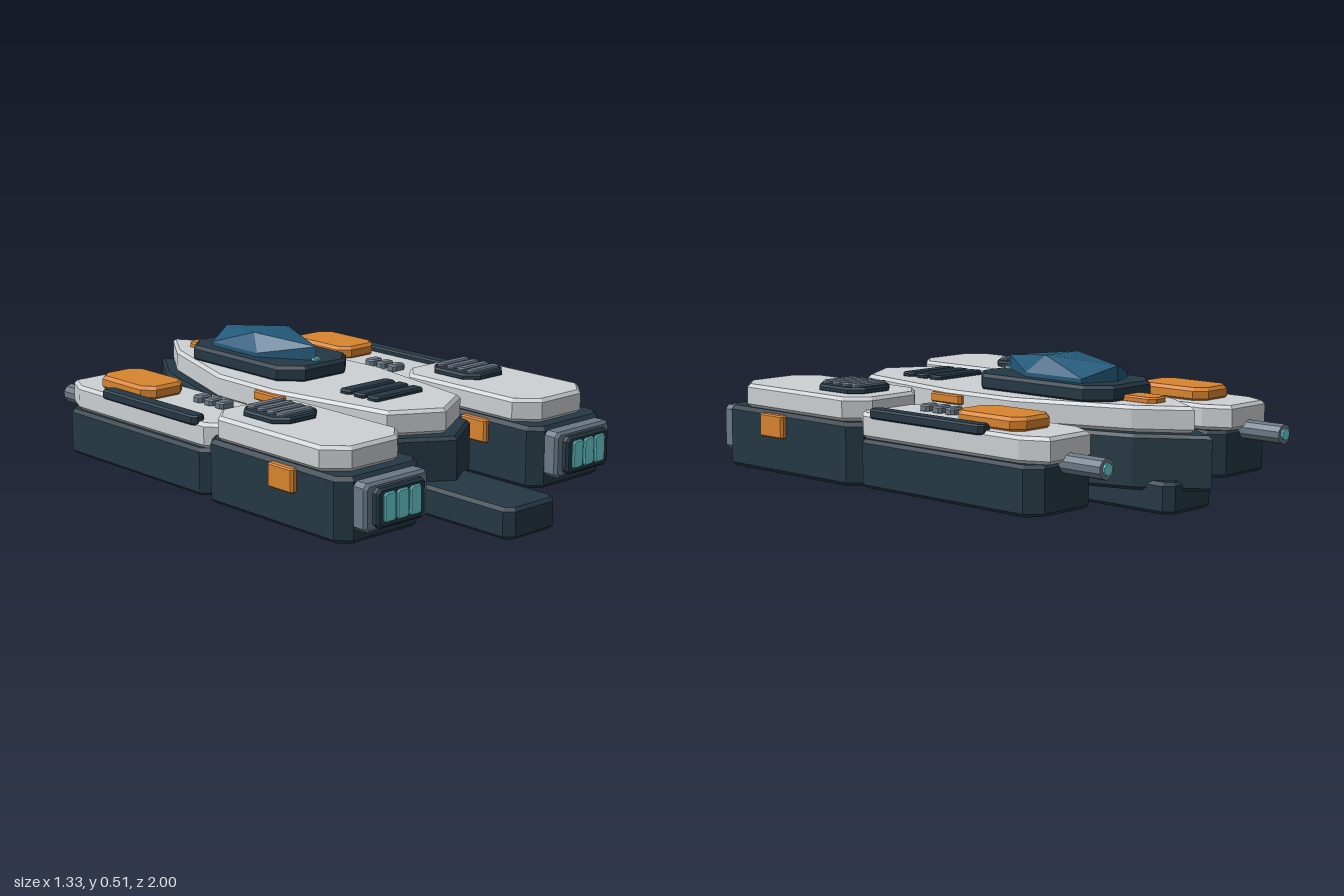
import * as THREE from 'three';
import { ConvexGeometry } from 'three/addons/geometries/ConvexGeometry.js';

export function createModel() {
  const model = new THREE.Group();
  const mat = (name, color) => {
    const m = new THREE.MeshStandardMaterial({ color });
    m.name = name;
    return m;
  };
  const white = mat('paleArmour', 0xcdd1d4);
  const dark = mat('darkHull', 0x253844);
  const grey = mat('steelGrey', 0x6a7886);
  const orange = mat('orangeTrim', 0xd9842f);
  const blue = mat('canopyBlue', 0x23597a);
  const cyan = mat('cyanGlow', 0x6ad2d8);

  const add = (name, geo, material, parent = model) => {
    const mesh = new THREE.Mesh(geo, material);
    mesh.name = name;
    parent.add(mesh);
    return mesh;
  };

  // Bevelled slab: outline of [x, z] points raised from y0 to y1
  const slab = (name, pts, y0, y1, bevel, material, parent) => {
    const shape = new THREE.Shape(pts.map(([x, z]) => new THREE.Vector2(x, -z)));
    const geo = new THREE.ExtrudeGeometry(shape, {
      depth: y1 - y0 - 2 * bevel, bevelEnabled: true, bevelThickness: bevel,
      bevelSize: bevel, bevelOffset: -bevel, bevelSegments: 1,
    });
    geo.rotateX(-Math.PI / 2).translate(0, y0 + bevel, 0);
    return add(name, geo, material, parent);
  };

  // Rectangle with cut corners, given its centre, size and cut
  const octagon = (cx, cz, w, d, cut) => {
    const a = w / 2, b = d / 2;
    return [[a - cut, -b], [a, -b + cut], [a, b - cut], [a - cut, b],
      [-a + cut, b], [-a, b - cut], [-a, -b + cut], [-a + cut, -b]].map(([x, z]) => [x + cx, z + cz]);
  };

  // Chamfered block
  const block = (name, x, z, w, d, y0, y1, cut, bevel, material, parent) =>
    slab(name, octagon(x, z, w, d, cut), y0, y1, bevel, material, parent);

  // Symmetrical outline from half a profile running nose to tail
  const mirrored = (half) => [...half,
    ...half.slice(1, -1).reverse().map(([x, z]) => [-x, z])];

  // Central hull, deck and keel
  slab('centralHull', mirrored([[0, -1], [0.15, -0.78], [0.285, -0.33], [0.285, -0.05],
    [0.2, 0.51], [0, 0.64]]), 0.11, 0.3, 0.012, dark);
  slab('centralDeck', mirrored([[0, -0.925], [0.12, -0.75], [0.262, -0.33], [0.268, -0.02],
    [0.18, 0.48], [0, 0.585]]), 0.3, 0.39, 0.012, white);
  block('keel', 0, 0.04, 0.245, 1.92, 0.035, 0.145, 0.03, 0.012, dark);

  // Cockpit
  block('cockpitBase', 0, -0.342, 0.345, 0.625, 0.385, 0.445, 0.075, 0.012, dark);
  const canopy = [[0, 0.5, -0.588], [0, 0.497, -0.08], [0, 0.44, -0.588], [0, 0.44, -0.08]];
  for (const s of [-1, 1]) {
    canopy.push([s * 0.085, 0.523, -0.33], [s * 0.122, 0.46, -0.53],
      [s * 0.122, 0.46, -0.27], [s * 0.122, 0.44, -0.53], [s * 0.122, 0.44, -0.27]);
  }
  add('canopy', new ConvexGeometry(canopy.map((p) => new THREE.Vector3(...p))), blue);
  block('canopyLight', 0, -0.08, 0.03, 0.03, 0.445, 0.456, 0.005, 0.002, cyan);
  block('noseMarker', 0, -0.705, 0.09, 0.15, 0.385, 0.41, 0.02, 0.006, orange);

  // Deck louvres
  for (let i = 0; i < 3; i++) {
    block('deckLouvre', 0, 0.195 + i * 0.07, 0.235, 0.056, 0.385, 0.406, 0.01, 0.006, dark);
  }

  for (const s of [-1, 1]) {
    const pod = new THREE.Group();
    pod.name = s > 0 ? 'leftPod' : 'rightPod';
    model.add(pod);
    const x = s * 0.4575;

    // Large engine section
    block('engineBody', x, 0.405, 0.375, 0.71, 0.075, 0.3, 0.045, 0.014, dark, pod);
    block('engineArmour', x, 0.38, 0.355, 0.66, 0.3, 0.385, 0.075, 0.012, white, pod);

    // Slim gun section
    const gx = s * 0.478;
    block('gunBody', gx, -0.355, 0.315, 0.85, 0.08, 0.25, 0.05, 0.012, dark, pod);
    slab('gunArmour', [[0.38, -0.795], [0.575, -0.795], [0.622, -0.7], [0.622, 0.03], [0.58, 0.08],
      [0.38, 0.08], [0.33, 0.03], [0.33, -0.7]].map(([px, z]) => [s * px, z]),
    0.25, 0.34, 0.012, white, pod);
    block('sideStrip', s * 0.608, -0.275, 0.056, 0.54, 0.325, 0.36, 0.015, 0.006, dark, pod);
    block('topPanel', s * 0.48, -0.5, 0.19, 0.31, 0.335, 0.386, 0.04, 0.012, orange, pod);
    block('innerMarker', s * 0.318, -0.608, 0.03, 0.09, 0.18, 0.25, 0.008, 0.004, orange, pod);
    for (let i = 0; i < 3; i++) {
      block('stud', s * 0.425, -0.217 + i * 0.061, 0.064, 0.045, 0.335, 0.364, 0.01, 0.006, grey, pod);
    }

    // Gun barrel with glowing muzzle
    const barrel = (name, r, z0, z1, material) => {
      const geo = new THREE.CylinderGeometry(r, r, z1 - z0, 10).rotateX(Math.PI / 2).toNonIndexed();
      geo.computeVertexNormals();
      add(name, geo, material, pod).position.set(s * 0.48, 0.245, (z0 + z1) / 2);
    };
    barrel('gunBarrel', 0.036, -0.95, -0.76, grey);
    barrel('muzzleGlow', 0.021, -0.957, -0.94, cyan);

    // Roof vent
    block('ventBase', s * 0.462, 0.248, 0.205, 0.235, 0.38, 0.406, 0.045, 0.007, dark, pod);
    for (let i = 0; i < 4; i++) {
      block('ventSlat', s * 0.462, 0.172 + i * 0.05, 0.15, 0.034, 0.4, 0.418, 0.008, 0.005, grey, pod);
    }

    // Exhaust frame and glowing cells
    const facing = (name, cx, cy, w, h, z0, z1, cut, bevel, material) => {
      const mesh = block(name, 0, 0, w, h, 0, z1 - z0, cut, bevel, material, pod);
      mesh.rotation.x = Math.PI / 2;
      mesh.position.set(cx, cy, z0);
    };
    facing('exhaustFrame', s * 0.458, 0.205, 0.285, 0.165, 0.74, 0.815, 0.015, 0.01, grey);
    facing('exhaustRecess', s * 0.458, 0.203, 0.22, 0.135, 0.8, 0.838, 0.015, 0.008, dark);
    for (const i of [-1, 0, 1]) {
      facing('exhaustCell', s * 0.458 + i * 0.058, 0.205, 0.052, 0.1, 0.83, 0.846, 0.008, 0.004, cyan);
    }

    // Clamps on both flanks of the engine
    for (const cx of [0.266, 0.651]) {
      block('flankClamp', s * cx, 0.473, 0.03, 0.125, 0.208, 0.292, 0.008, 0.005, orange, pod);
    }

    // Link to the hull and deck marker
    block('hullLink', s * 0.3, -0.16, 0.1, 0.36, 0.15, 0.24, 0.02, 0.01, dark, pod);
    block('deckMarker', s * 0.268, -0.03, 0.034, 0.15, 0.343, 0.378, 0.008, 0.005, orange, pod);

    // Folded landing arm
    const disc = (name, px, z, r, y0, y1) => {
      const geo = new THREE.CylinderGeometry(r, r, y1 - y0, 12).toNonIndexed();
      geo.computeVertexNormals();
      add(name, geo, grey, pod).position.set(s * px, (y0 + y1) / 2, z);
    };
    disc('armFoot', 0.285, 0.18, 0.058, 0.008, 0.07);
    disc('armPivot', 0.35, -0.295, 0.058, 0.048, 0.08);
    slab('landingArm', [[0.245, 0.18], [0.325, 0.18], [0.35, 0.02], [0.375, -0.28], [0.325, -0.29],
      [0.27, -0.02]].map(([px, z]) => [s * px, z]), 0.01, 0.058, 0.006, dark, pod);
    block('armTrim', s * 0.298, -0.015, 0.07, 0.25, 0.055, 0.078, 0.01, 0.004, orange, pod);
  }
  return model;
}
